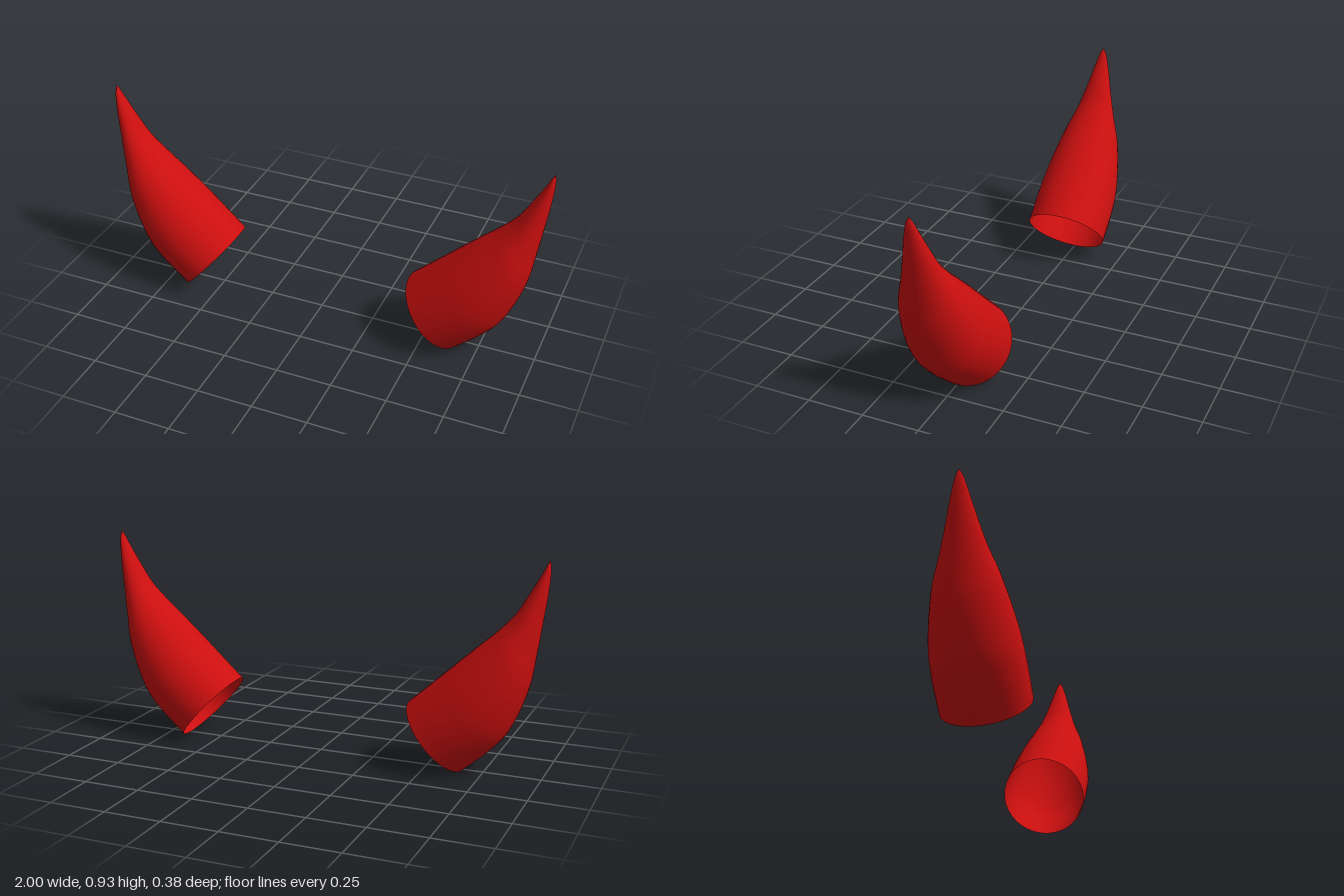
import * as THREE from 'three';

// Horn cross-sections, base to tip: [inner edge x, y, outer edge x, y]
const SECTIONS = [
  [0.414, 0.283, 0.662, 0.003],
  [0.51, 0.37, 0.778, 0.107],
  [0.60, 0.453, 0.84, 0.178],
  [0.70, 0.545, 0.892, 0.282],
  [0.80, 0.636, 0.933, 0.406],
  [0.863, 0.706, 0.955, 0.54],
  [0.917, 0.795, 0.977, 0.69],
  [0.96, 0.872, 0.993, 0.81],
  [0.986, 0.922, 0.999, 0.895],
  [0.995, 0.936, 0.995, 0.936],
];

// Circular rings spanned between the inner and outer edge curves, open at the base
function hornGeometry(rings = 48, sides = 40) {
  const edge = (k) => new THREE.CatmullRomCurve3(
    SECTIONS.map((s) => new THREE.Vector3(s[k], s[k + 1], 0)));
  const inner = edge(0);
  const outer = edge(2);
  const positions = [];
  const indices = [];
  for (let i = 0; i <= rings; i++) {
    const a = inner.getPoint(i / rings);
    const b = outer.getPoint(i / rings);
    const centre = a.clone().add(b).multiplyScalar(0.5);
    const half = a.clone().sub(b).multiplyScalar(0.5);
    const radius = half.length();
    for (let j = 0; j < sides; j++) {
      const angle = (j / sides) * Math.PI * 2;
      const c = Math.cos(angle);
      positions.push(centre.x + half.x * c, centre.y + half.y * c, radius * Math.sin(angle));
      if (i < rings) {
        const p = i * sides + j;
        const q = i * sides + ((j + 1) % sides);
        indices.push(p, q, p + sides, q, q + sides, p + sides);
      }
    }
  }
  const geometry = new THREE.BufferGeometry();
  geometry.setAttribute('position', new THREE.Float32BufferAttribute(positions, 3));
  geometry.setIndex(indices);
  geometry.computeVertexNormals();
  return geometry;
}

export function createModel() {
  const group = new THREE.Group();
  group.name = 'horns';
  const material = new THREE.MeshStandardMaterial({ color: 0xcc0f0f, side: THREE.DoubleSide });
  const geometry = hornGeometry();

  // The horn is symmetric front to back, so a half turn mirrors it
  for (const [name, turn] of [['leftHorn', 0], ['rightHorn', Math.PI]]) {
    const horn = new THREE.Mesh(geometry, material);
    horn.name = name;
    horn.rotation.y = turn;
    group.add(horn);
  }
  return group;
}
